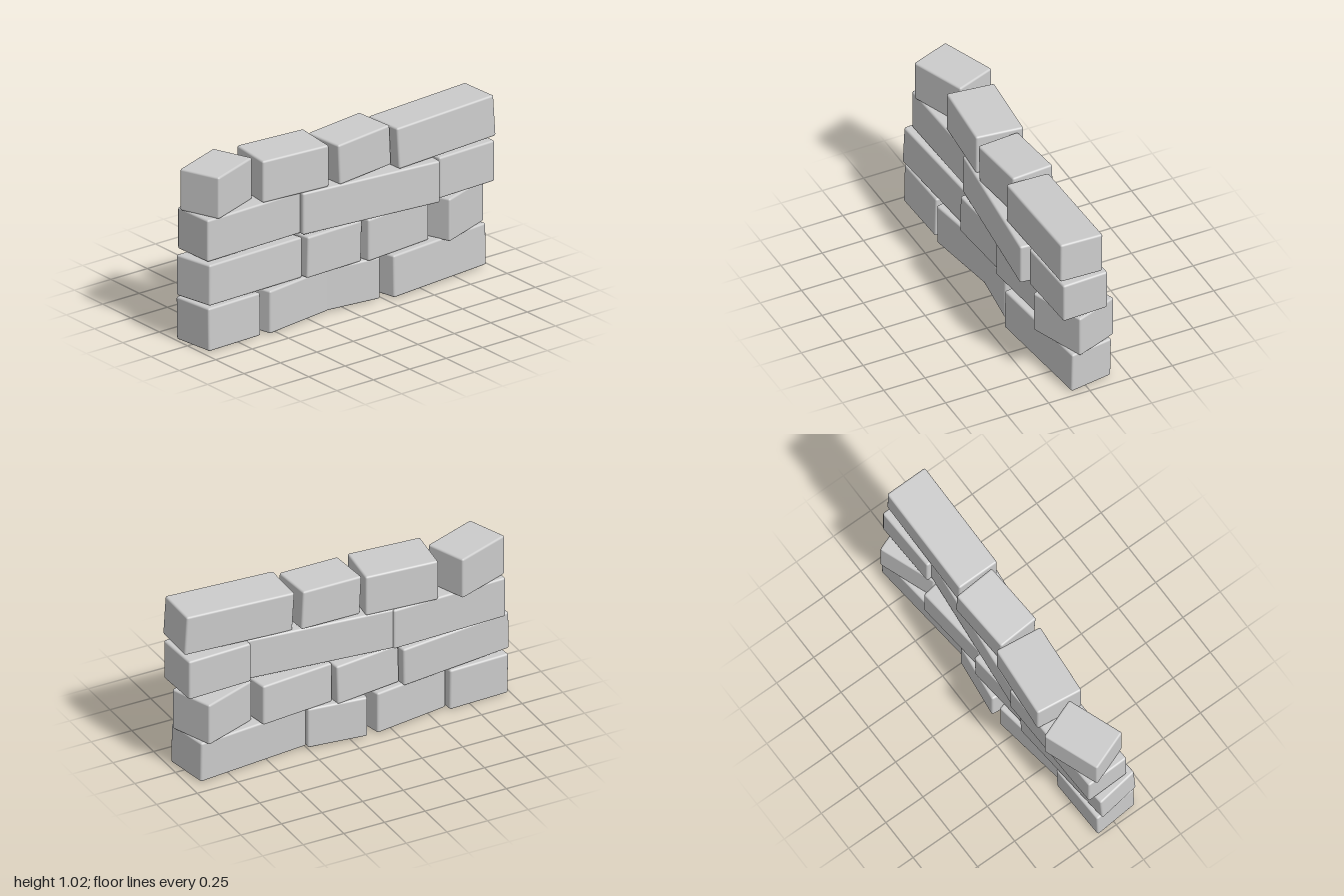
import * as THREE from 'three';
import { RoundedBoxGeometry } from 'three/addons/geometries/RoundedBoxGeometry.js';

const material = new THREE.MeshStandardMaterial({ color: 0xcccccc });

// One worn brick; skew slants its two ends so that they are not square to its sides.
function brick({ at, size, turn = 0, pitch = 0, roll = 0, skew = 0 }) {
  const geometry = new RoundedBoxGeometry(...size, 2, 0.012);
  geometry.applyMatrix4(new THREE.Matrix4().set(
    1, 0, 0, 0,
    0, 1, 0, 0,
    skew, 0, 1, 0,
    0, 0, 0, 1,
  ));
  const mesh = new THREE.Mesh(geometry, material);
  mesh.position.set(...at);
  mesh.rotation.set(pitch, turn, roll, 'YXZ');
  return mesh;
}

// Courses from the ground up, each listed from front to back.
const courses = {
  bottomCourse: [
    { at: [0.01, 0.131, 0.795], size: [0.265, 0.25, 0.365], turn: 0.03, roll: 0.02, skew: -0.05 },
    { at: [-0.005, 0.135, 0.355], size: [0.26, 0.25, 0.46], turn: 0.15, skew: -0.08 },
    { at: [-0.02, 0.135, -0.065], size: [0.26, 0.245, 0.35], turn: -0.12 },
    { at: [0.0, 0.132, -0.61], size: [0.265, 0.245, 0.69], turn: 0.1, roll: 0.02, skew: -0.08 },
  ],
  secondCourse: [
    { at: [0.0, 0.382, 0.645], size: [0.255, 0.235, 0.68], turn: 0.08, pitch: -0.03, roll: 0.03, skew: -0.06 },
    { at: [-0.005, 0.38, 0.1], size: [0.27, 0.24, 0.4], turn: 0.09, pitch: -0.03 },
    { at: [-0.01, 0.378, -0.34], size: [0.26, 0.245, 0.45], turn: 0.1, skew: -0.05 },
    { at: [-0.01, 0.375, -0.78], size: [0.27, 0.25, 0.35], turn: 0.36 },
  ],
  thirdCourse: [
    { at: [-0.03, 0.637, 0.6], size: [0.26, 0.245, 0.7], turn: 0.03 },
    { at: [0.025, 0.637, -0.15], size: [0.285, 0.245, 0.88], turn: -0.1 },
    { at: [0.025, 0.637, -0.79], size: [0.275, 0.24, 0.39], turn: 0.04 },
  ],
  topCourse: [
    { at: [-0.05, 0.878, 0.765], size: [0.25, 0.245, 0.345], turn: 0.36 },
    { at: [-0.025, 0.88, 0.325], size: [0.275, 0.245, 0.43], turn: -0.08, skew: 0.04 },
    { at: [0.005, 0.882, -0.11], size: [0.25, 0.235, 0.375], turn: 0.07, pitch: 0.05 },
    { at: [0.04, 0.89, -0.65], size: [0.255, 0.24, 0.665], pitch: 0.045, roll: 0.03 },
  ],
};

export function createModel() {
  const wall = new THREE.Group();
  wall.name = 'brickWall';
  for (const [name, bricks] of Object.entries(courses)) {
    const course = new THREE.Group();
    course.name = name;
    bricks.forEach((spec, i) => {
      const mesh = brick(spec);
      mesh.name = `brick${i + 1}`;
      course.add(mesh);
    });
    wall.add(course);
  }
  return wall;
}
